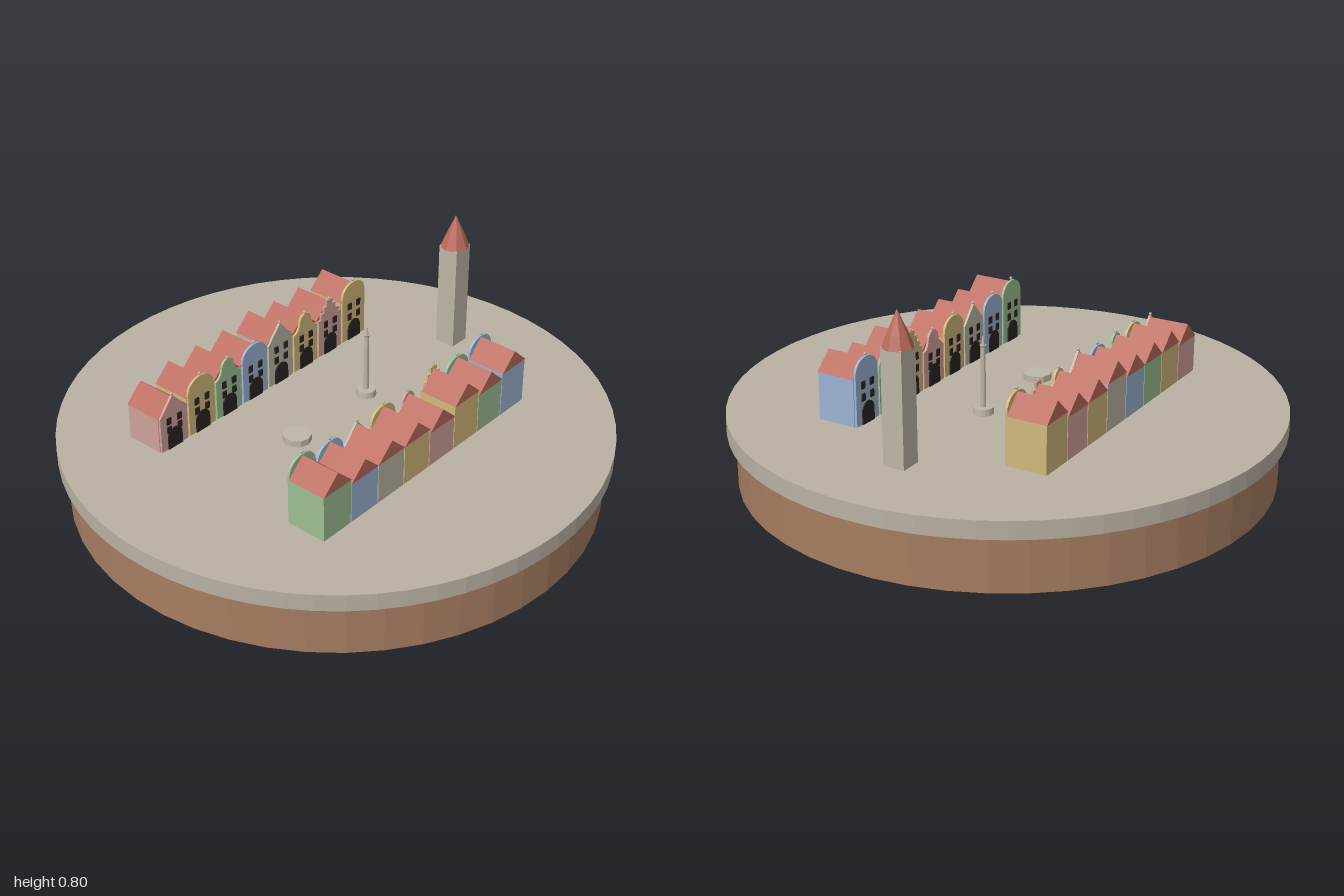
import * as THREE from 'three';

const GROUND = 0.265;
const PITCH = 0.1375; // house spacing along a row
const DEPTH = 0.148;
const RISE = 0.064; // roof height

function mat(name, color) {
  const m = new THREE.MeshStandardMaterial({ color });
  m.name = name;
  return m;
}

const M = {
  base: mat('brown base', 0xa67d61),
  paving: mat('paving', 0xb9b1a3),
  stone: mat('pale stone', 0xbdb6a6),
  green: mat('green plaster', 0x9dbf93),
  blue: mat('blue plaster', 0x9db3d3),
  yellow: mat('yellow plaster', 0xd1b97c),
  pink: mat('pink plaster', 0xd1a29a),
  roof: mat('roof tile', 0xba6a5c),
  dark: mat('dark opening', 0x2a2422),
};

function add(parent, name, geometry, material, x = 0, y = 0, z = 0) {
  const mesh = new THREE.Mesh(geometry, material);
  mesh.name = name;
  mesh.position.set(x, y, z);
  parent.add(mesh);
  return mesh;
}

// flat-sided round piece standing on y
function drum(parent, name, material, rTop, rBottom, h, sides, x, y, z) {
  const g = new THREE.CylinderGeometry(rTop, rBottom, h, sides).toNonIndexed();
  g.computeVertexNormals();
  return add(parent, name, g, material, x, y + h / 2, z);
}

function plate(shape, depth) {
  return new THREE.ExtrudeGeometry(shape, { depth, bevelEnabled: false, curveSegments: 6 });
}

// gable outline above a wall of height h
function facadeShape(kind, h) {
  const w = 0.064;
  const s = new THREE.Shape();
  s.moveTo(-w, 0);
  s.lineTo(w, 0);
  if (kind === 'step') {
    const steps = 4;
    for (let i = 0; i < steps; i++) {
      const x = w * (1 - i / steps);
      const y = h + (i * 0.072) / (steps - 1);
      s.lineTo(x, y);
      s.lineTo(x - w / steps, y);
    }
    for (let i = steps - 1; i >= 0; i--) {
      const x = w * (1 - i / steps);
      const y = h + (i * 0.072) / (steps - 1);
      s.lineTo(-x + w / steps, y);
      s.lineTo(-x, y);
    }
  } else if (kind === 'bell') {
    s.lineTo(w, h);
    s.quadraticCurveTo(0.034, h + 0.008, 0.03, h + 0.045);
    s.quadraticCurveTo(0.024, h + 0.07, 0, h + 0.072);
    s.quadraticCurveTo(-0.024, h + 0.07, -0.03, h + 0.045);
    s.quadraticCurveTo(-0.034, h + 0.008, -w, h);
  } else if (kind === 'round') {
    s.lineTo(w, h + 0.012);
    s.bezierCurveTo(w, h + 0.045, 0.036, h + 0.068, 0, h + 0.068);
    s.bezierCurveTo(-0.036, h + 0.068, -w, h + 0.045, -w, h + 0.012);
  } else {
    s.lineTo(w, h);
    s.lineTo(0, h + 0.073);
    s.lineTo(-w, h);
  }
  s.closePath();
  return s;
}

function doorShape() {
  const s = new THREE.Shape();
  s.moveTo(-0.034, 0);
  s.lineTo(0.034, 0);
  s.lineTo(0.034, 0.046);
  s.absarc(0, 0.046, 0.034, 0, Math.PI, false);
  s.closePath();
  return s;
}

// one narrow house, facade toward +z
function house(color, h, kind) {
  const g = new THREE.Group();
  g.name = 'house';
  add(g, 'walls', new THREE.BoxGeometry(PITCH - 0.004, h, DEPTH), M[color], 0, h / 2, 0);

  const tri = new THREE.Shape();
  tri.moveTo(-PITCH / 2, 0);
  tri.lineTo(PITCH / 2, 0);
  tri.lineTo(0, RISE);
  tri.closePath();
  add(g, 'roof', plate(tri, DEPTH + 0.002), M.roof, 0, h, -DEPTH / 2 - 0.002);

  const front = DEPTH / 2;
  add(g, 'facade', plate(facadeShape(kind, h), 0.009), M[color], 0, 0, front);
  add(g, 'finial', new THREE.SphereGeometry(0.006, 8, 6), M.stone, 0, h + 0.076, front + 0.004);

  const face = front + 0.009;
  add(g, 'door', plate(doorShape(), 0.004), M.dark, 0, 0, face);
  const pane = new THREE.BoxGeometry(0.02, 0.027, 0.004);
  for (const x of [-0.025, 0.025]) {
    for (const y of [h * 0.57, h * 0.83]) add(g, 'window', pane, M.dark, x, y, face + 0.002);
  }
  return g;
}

function houseRow(parent, name, x, z, turn, list) {
  const row = new THREE.Group();
  row.name = name;
  row.position.set(x, GROUND, z);
  row.rotation.y = THREE.MathUtils.degToRad(turn);
  list.forEach(([color, h, kind], i) => {
    const unit = house(color, h, kind);
    unit.position.x = (i - (list.length - 1) / 2) * PITCH;
    row.add(unit);
  });
  parent.add(row);
}

export function createModel() {
  const model = new THREE.Group();
  model.name = 'town square';

  // round stand
  drum(model, 'base', M.base, 0.97, 0.97, 0.2, 48, 0, 0, 0);
  drum(model, 'pavingSlab', M.paving, 1, 1, GROUND - 0.2, 64, 0, 0.2, 0);

  // two facing rows of houses
  houseRow(model, 'leftHouseRow', -0.37, -0.1, 70, [
    ['pink', 0.138, 'point'], ['yellow', 0.155, 'round'], ['green', 0.155, 'bell'],
    ['blue', 0.155, 'round'], ['stone', 0.175, 'point'], ['yellow', 0.155, 'bell'],
    ['pink', 0.155, 'step'], ['yellow', 0.175, 'round'],
  ]);
  houseRow(model, 'rightHouseRow', 0.342, 0.16, -110, [
    ['blue', 0.175, 'round'], ['green', 0.155, 'round'], ['yellow', 0.175, 'step'],
    ['pink', 0.138, 'bell'], ['yellow', 0.155, 'round'], ['stone', 0.155, 'point'],
    ['blue', 0.155, 'round'], ['green', 0.175, 'round'],
  ]);

  // square tower with flared eight-sided spire
  const tower = new THREE.Group();
  tower.name = 'tower';
  tower.position.set(0.23, GROUND, -0.64);
  tower.rotation.y = THREE.MathUtils.degToRad(-20);
  add(tower, 'towerShaft', new THREE.BoxGeometry(0.081, 0.412, 0.081), M.stone, 0, 0.206, 0);
  drum(tower, 'spireFlare', M.roof, 0.037, 0.055, 0.045, 8, 0, 0.408, 0);
  drum(tower, 'spire', M.roof, 0, 0.037, 0.082, 8, 0, 0.453, 0);
  model.add(tower);

  // monument column
  const column = new THREE.Group();
  column.name = 'column';
  column.position.set(0.055, GROUND, -0.165);
  drum(column, 'plinth', M.stone, 0.036, 0.038, 0.024, 16, 0, 0, 0);
  drum(column, 'columnShaft', M.stone, 0.008, 0.01, 0.225, 10, 0, 0.024, 0);
  drum(column, 'capital', M.stone, 0.012, 0.009, 0.008, 10, 0, 0.245, 0);
  drum(column, 'figure', M.stone, 0.003, 0.007, 0.03, 8, 0, 0.253, 0);
  model.add(column);

  // low fountain block
  drum(model, 'fountain', M.stone, 0.052, 0.052, 0.024, 10, -0.072, GROUND, 0.195);

  return model;
}
